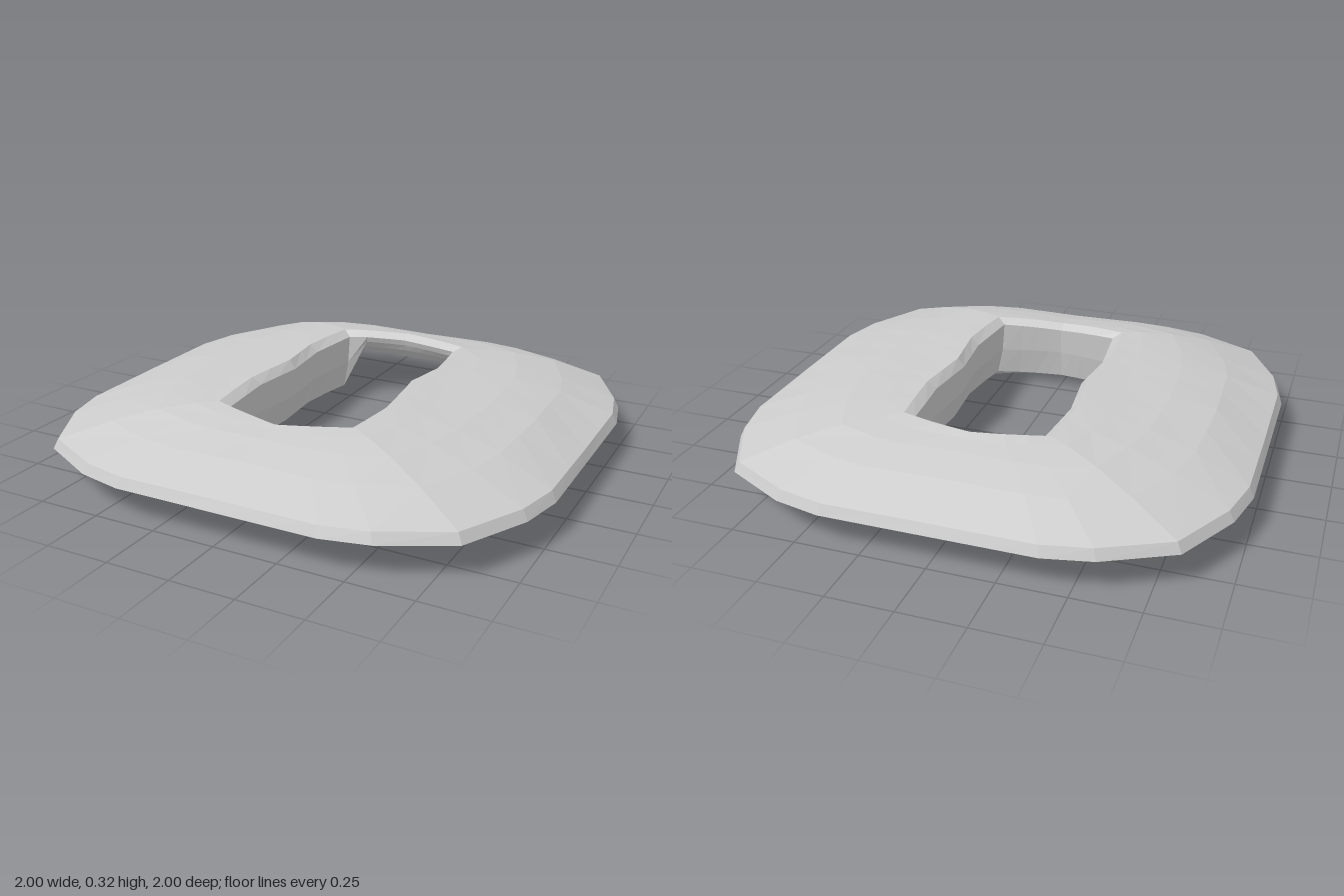
import * as THREE from 'three';

const { lerp } = THREE.MathUtils;

// One quadrant of the plan, from the side (+x) to the front (+z): outer edge and hole edge
const OUTER = [[1, 0], [1, 0.2], [1, 0.4], [0.96, 0.58], [0.83, 0.83], [0.58, 0.96], [0.4, 1], [0.2, 1], [0, 1]];
const HOLE = [[0.25, 0], [0.263, 0.12], [0.275, 0.23], [0.262, 0.37], [0.25, 0.49], [0.17, 0.508], [0.1, 0.522], [0.05, 0.532], [0, 0.54]];
const N = OUTER.length - 1;

// Closed cross-section: shares of the way to the hole, then heights
const SECTION = [
  // share at side, corner, front; height at side, corner, front, open back
  [0, 0, 0, 0.13, 0.13, 0.13, 0.13],
  [0.022, 0.03, 0.04, 0.17, 0.17, 0.17, 0.17],
  [0.28, 0.34, 0.41, 0.255, 0.24, 0.24, 0.245],
  [0.52, 0.6, 0.7, 0.288, 0.285, 0.275, 0.285],
  [0.77, 0.81, 0.85, 0.302, 0.305, 0.285, 0.3],
  [0.965, 0.94, 0.92, 0.32, 0.31, 0.292, 0.312],
  [1, 1, 1, 0.285, 0.285, 0.27, 0.29],
  [0.98, 0.98, 0.98, 0.16, 0.16, 0.16, 0.265],
  [0.93, 0.93, 0.94, 0.045, 0.04, 0.04, 0.235],
  [0.69, 0.67, 0.78, 0.025, 0, 0.015, 0.18],
  [0.45, 0.4, 0.5, 0.125, 0.1, 0.1, 0.155],
  [0.24, 0.22, 0.25, 0.147, 0.125, 0.12, 0.14],
];
const RIDGE = 9;

// Value along a quadrant from side over corner to front
const blend = (w, side, corner, front) =>
  (w < 0.5 ? lerp(side, corner, w * 2) : lerp(corner, front, w * 2 - 1));

// Plan columns for the full turn, mirrored from the quadrant
function columns() {
  const list = [];
  for (let k = 0; k < 4 * N; k++) {
    const q = Math.floor(k / N);
    const i = q % 2 ? N - (k % N) : k % N;
    const sx = q === 1 || q === 2 ? -1 : 1;
    const sz = q < 2 ? 1 : -1;
    // the lower ridge is missing along the back, up to the +x corner
    const open = sz < 0 && i >= (sx > 0 ? 4 : 5);
    list.push({ i, sx, sz, open });
  }
  return list;
}

function ringGeometry() {
  const cols = columns();
  const pos = [];
  const index = [];
  SECTION.forEach(([tSide, tCorner, tFront, ySide, yCorner, yFront, yOpen], r) => {
    for (const { i, sx, sz, open } of cols) {
      const w = i / N;
      let t = blend(w, tSide, tCorner, tFront);
      // the ridge cuts across the front corner on the +x side
      if (r === RIDGE && sx > 0 && sz > 0) t += blend(w, 0, 0.15, 0);
      pos.push(
        sx * lerp(OUTER[i][0], HOLE[i][0], t),
        open ? yOpen : blend(w, ySide, yCorner, yFront),
        sz * lerp(OUTER[i][1], HOLE[i][1], t),
      );
    }
  });
  const rings = SECTION.length;
  const m = cols.length;
  for (let r = 0; r < rings; r++) {
    for (let c = 0; c < m; c++) {
      const r2 = (r + 1) % rings;
      const c2 = (c + 1) % m;
      const a = r * m + c, b = r2 * m + c, d = r * m + c2, e = r2 * m + c2;
      index.push(a, b, d, b, e, d);
    }
  }
  const geo = new THREE.BufferGeometry();
  geo.setAttribute('position', new THREE.Float32BufferAttribute(pos, 3));
  geo.setIndex(index);
  geo.computeVertexNormals();
  return geo;
}

export function createModel() {
  const group = new THREE.Group();
  group.name = 'cushionRing';
  const material = new THREE.MeshStandardMaterial({ color: 0xcccccc, flatShading: true });
  const ring = new THREE.Mesh(ringGeometry(), material);
  ring.name = 'ringBody';
  group.add(ring);
  return group;
}
